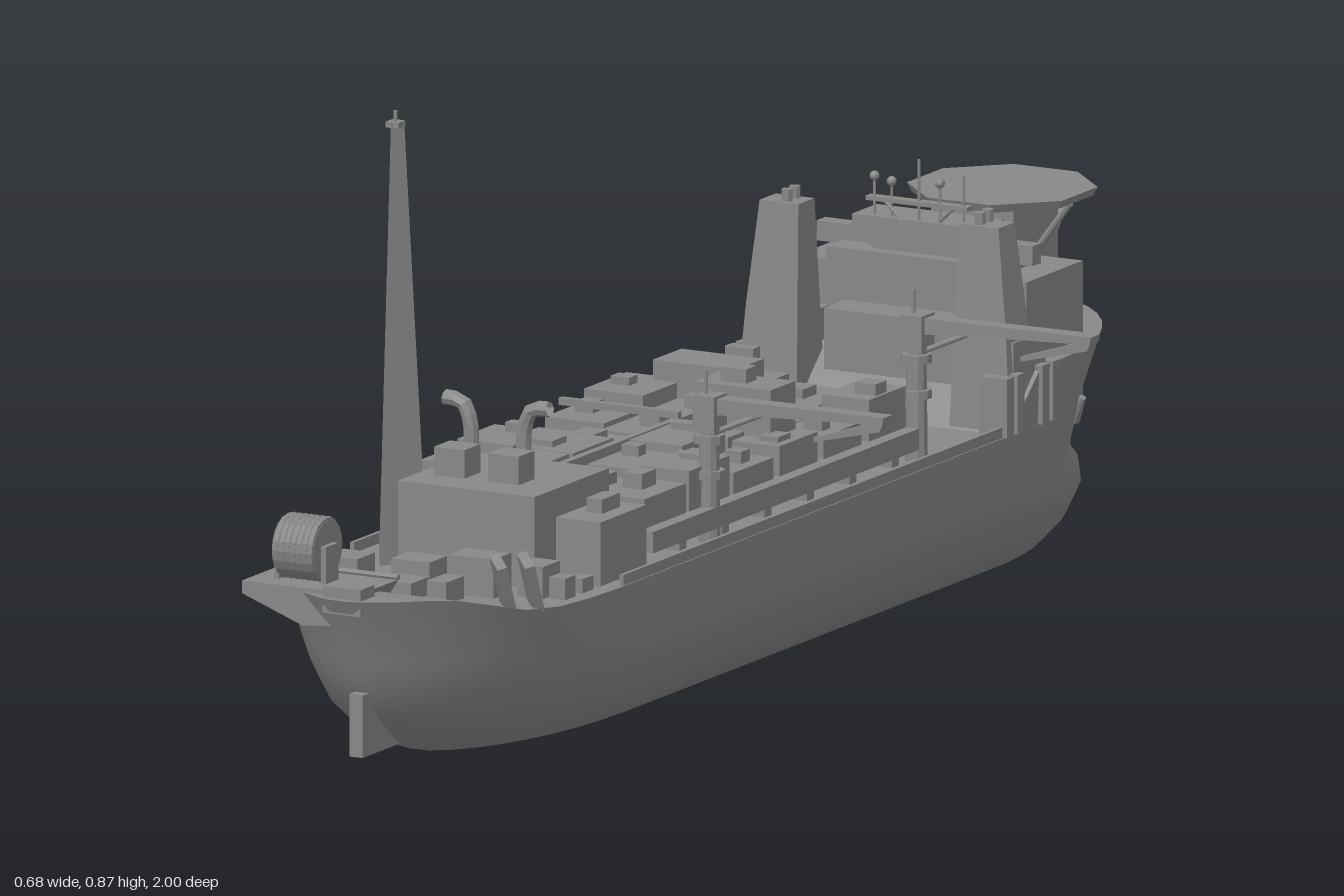
import * as THREE from 'three';

const MID = -0.12; // centreline of the hull in x
const smooth = new THREE.MeshStandardMaterial({ color: 0x888888, side: THREE.DoubleSide });
const flat = new THREE.MeshStandardMaterial({ color: 0x888888, flatShading: true, side: THREE.DoubleSide });

function add(parent, name, geo, x = 0, y = 0, z = 0, mat = flat) {
  const m = new THREE.Mesh(geo, mat);
  m.name = name;
  m.position.set(x, y, z);
  parent.add(m);
  return m;
}

// box given by its limits on each axis
function box(parent, name, x0, x1, y0, y1, z0, z1) {
  return add(parent, name, new THREE.BoxGeometry(x1 - x0, y1 - y0, z1 - z0),
    (x0 + x1) / 2, (y0 + y1) / 2, (z0 + z1) / 2);
}

// round bar between two points
function bar(parent, name, a, b, r0, r1 = r0, sides = 8) {
  const p = new THREE.Vector3(...a), q = new THREE.Vector3(...b);
  const m = add(parent, name, new THREE.CylinderGeometry(r1, r0, p.distanceTo(q), sides));
  m.position.copy(p).add(q).multiplyScalar(0.5);
  m.quaternion.setFromUnitVectors(new THREE.Vector3(0, 1, 0), q.sub(p).normalize());
  return m;
}

// outline in x and y, given a depth in z
function plate(points, depth) {
  const s = new THREE.Shape(points.map(([x, y]) => new THREE.Vector2(x, y)));
  return new THREE.ExtrudeGeometry(s, { depth, bevelEnabled: false });
}

// upper edge of the hull along its length
function sheer(z) {
  if (z > 0.78) return 0.235 + 0.037 * Math.min(1, (z - 0.78) / 0.14);
  return 0.235 + 0.08 * THREE.MathUtils.clamp((-0.52 - z) / 0.06, 0, 1);
}

function meshGeometry(pos, idx) {
  const g = new THREE.BufferGeometry();
  g.setAttribute('position', new THREE.Float32BufferAttribute(pos, 3));
  g.setIndex(idx);
  g.computeVertexNormals();
  return g;
}

// hull lofted from waterlines: [y, half width, stern z, stern run, bow z, bow run]
function buildHull(g) {
  const levels = [
    [0.006, 0.09, 0.66, 0.3, -0.88, 0.25], [0.018, 0.13, 0.77, 0.35, -0.925, 0.3],
    [0.048, 0.164, 0.855, 0.4, -0.968, 0.38], [0.094, 0.195, 0.91, 0.42, -0.985, 0.42],
    [0.125, 0.205, 0.93, 0.42, -0.967, 0.42], [0.15, 0.21, 0.945, 0.42, -0.93, 0.4],
    [0.175, 0.213, 0.955, 0.41, -0.925, 0.38], [0.5, 0.215, 0.975, 0.4, -0.95, 0.36],
    [1, 0.217, 1, 0.4, -1, 0.36]];
  const rows = levels.map(([lv, w, zs, rs, zb, rb], i) => {
    const side = [];
    const put = (z, h) => {
      const y = i < 7 ? lv : 0.175 + (sheer(z) - 0.175) * lv;
      side.push([Math.max(h, 0.018), y, z]);
    };
    for (let k = 0; k < 9; k++) {
      const a = (1 - k / 9) * Math.PI / 2;
      put(zs - rs + rs * Math.sin(a), w * Math.cos(a) ** 1.08);
    }
    for (let k = 0; k < 28; k++) put(THREE.MathUtils.lerp(zs - rs, zb + rb, k / 28), w);
    for (let k = 0; k <= 10; k++) {
      const a = k / 10 * Math.PI / 2;
      put(zb + rb - rb * Math.sin(a), w * Math.abs(Math.cos(a)) ** 1.15);
    }
    return side;
  });
  const n = rows[0].length, ring = 2 * n, pos = [], idx = [];
  for (const r of rows) {
    for (const [h, y, z] of r) pos.push(MID + h, y, z);
    for (const [h, y, z] of [...r].reverse()) pos.push(MID - h, y, z);
  }
  for (let i = 0; i < rows.length - 1; i++) {
    for (let j = 0; j < ring; j++) {
      const a = i * ring + j, b = i * ring + (j + 1) % ring;
      idx.push(a, b, a + ring, b, b + ring, a + ring);
    }
  }
  for (let j = 0; j < n - 1; j++) { // flat bottom
    const s = ring - 1 - j;
    idx.push(j, s, j + 1, j + 1, s, s - 1);
  }
  add(g, 'hull', meshGeometry(pos, idx), 0, 0, 0, smooth);
  const dp = [], di = [];
  rows[rows.length - 1].forEach(([h, y, z], j) => {
    dp.push(MID + h, y, z, MID - h, y, z);
    if (j) di.push(2 * j - 2, 2 * j, 2 * j + 1, 2 * j - 2, 2 * j + 1, 2 * j - 1);
  });
  add(g, 'deck', meshGeometry(dp, di));
  box(g, 'skeg', -0.13, -0.109, 0.042, 0.13, 0.82, 0.95);
  add(g, 'thruster', new THREE.CylinderGeometry(0.027, 0.027, 0.02, 12), MID, 0.01, -0.39);
  for (const s of [-1, 1]) bar(g, 'anchor', [MID + s * 0.165, 0.2, -0.78], [MID + s * 0.185, 0.235, -0.77], 0.01, 0.005);
}

// knuckle-boom deck crane reaching out to the left side
function buildCrane(g, z) {
  const c = new THREE.Group();
  c.name = 'crane';
  c.position.set(0.06, 0, z);
  g.add(c);
  bar(c, 'cranePost', [0, 0.23, 0], [0, 0.39, 0], 0.016, 0.014, 10);
  for (const y of [0.33, 0.38]) add(c, 'craneCollar', new THREE.CylinderGeometry(0.022, 0.022, 0.012, 10), 0, y, 0);
  box(c, 'craneHead', -0.016, 0.018, 0.39, 0.442, -0.018, 0.018);
  bar(c, 'craneMast', [-0.005, 0.44, 0], [-0.005, 0.475, 0], 0.003);
  const boom = plate([[-0.015, 0.438], [0.28, 0.44], [0.278, 0.429], [0.09, 0.421], [-0.015, 0.413]], 0.026);
  add(c, 'craneBoom', boom, 0, 0, -0.016);
  const jib = plate([[0.28, 0.437], [0.27, 0.418], [0.167, 0.393], [0.165, 0.399], [0.25, 0.426]], 0.014);
  add(c, 'craneJib', jib, 0, 0, -0.01);
  bar(c, 'craneStrut', [0, 0.385, 0], [0.085, 0.423, 0], 0.004);
}

// plant modules, closely set on a raised platform
function buildTopsides(g) {
  let seed = 7;
  const rnd = () => (seed = (seed * 16807) % 2147483647) / 2147483647;
  box(g, 'modulePlatform', -0.318, 0.075, 0.255, 0.285, -0.29, 0.46);
  for (let z = -0.26; z < 0.46; z += 0.12) {
    for (const x of [-0.29, -0.2, -0.04, 0.045]) box(g, 'platformLeg', x - 0.01, x + 0.01, 0.23, 0.256, z - 0.01, z + 0.01);
  }
  for (let i = 0; i < 6; i++) {
    const z0 = -0.288 + i * 0.124;
    for (const [x0, x1] of [[-0.315, -0.222], [-0.22, -0.128], [-0.105, -0.022], [-0.02, 0.055]]) {
      const h = 0.315 + 0.035 * rnd(), d = 0.1 + 0.022 * rnd();
      box(g, 'module', x0, x1, 0.284, h, z0, z0 + d);
      const w = 0.02 + 0.025 * rnd(), x = x0 + 0.005 + rnd() * 0.035, z = z0 + 0.01 + rnd() * 0.05;
      box(g, 'equipment', x, x + w, h - 0.002, h + 0.006 + 0.016 * rnd(), z, z + 0.02 + 0.02 * rnd());
    }
  }
  box(g, 'pipeRack', -0.123, -0.112, 0.284, 0.345, -0.05, 0.46);
  box(g, 'crossPipeRack', -0.3, -0.112, 0.345, 0.355, 0.045, 0.055);
  box(g, 'largeModule', -0.26, -0.13, 0.284, 0.375, -0.22, -0.14);
  box(g, 'largeModule', -0.1, 0.02, 0.284, 0.395, -0.04, 0.03);
  box(g, 'topUnit', -0.07, -0.03, 0.394, 0.415, -0.02, 0.01);
  // power block near the stern
  box(g, 'powerHouse', -0.215, 0, 0.232, 0.365, 0.45, 0.66);
  box(g, 'sideHouse', 0, 0.07, 0.232, 0.325, 0.47, 0.6);
  for (const x of [-0.165, -0.08]) {
    box(g, 'exhaustBase', x - 0.024, x + 0.024, 0.36, 0.405, 0.56, 0.605);
    const path = new THREE.CatmullRomCurve3([[0, 0.36], [0, 0.43], [0.012, 0.458], [0.04, 0.462]]
      .map(([o, y]) => new THREE.Vector3(x + Math.sign(x - MID) * o, y, 0.545)));
    add(g, 'exhaustPipe', new THREE.TubeGeometry(path, 8, 0.011, 8));
  }
  for (const [x, w, z, h] of [[-0.29, 0.05, 0.68, 0.265], [-0.17, 0.06, 0.71, 0.28], [-0.09, 0.07, 0.69, 0.29],
    [-0.15, 0.05, 0.78, 0.265], [-0.08, 0.03, 0.77, 0.27], [0.0, 0.04, 0.66, 0.28], [0.02, 0.025, 0.5, 0.345]]) {
    box(g, 'sternEquipment', x, x + w, 0.23, h, z, z + 0.05);
  }
  for (let i = 0; i < 5; i++) box(g, 'deckLocker', 0.045, 0.07, 0.23, 0.255 + 0.01 * (i % 3), 0.47 + i * 0.05, 0.5 + i * 0.05);
  for (const s of [-1, 1]) box(g, 'sideRail', MID + s * 0.212 - 0.003, MID + s * 0.212 + 0.003, 0.23, 0.25, -0.5, 0.58);
  box(g, 'deckHatch', -0.147, -0.095, 0.23, 0.26, -0.425, -0.375);
  box(g, 'hatchTrunk', -0.135, -0.107, 0.25, 0.27, -0.415, -0.385);
}

function buildStern(g) {
  // three-sided flare tower
  bar(g, 'flareTower', [-0.258, 0.232, 0.59], [-0.258, 0.853, 0.59], 0.044, 0.012, 3);
  bar(g, 'flareTip', [-0.258, 0.85, 0.59], [-0.258, 0.868, 0.59], 0.003);
  box(g, 'flareHead', -0.268, -0.248, 0.845, 0.853, 0.58, 0.6);
  const shelf = plate([[-0.285, 0.278], [-0.1, 0.278], [-0.13, 0.23], [-0.19, 0.225], [-0.285, 0.26]], 0.11);
  add(g, 'reelPlatform', shelf, 0, 0, 0.865);
  bar(g, 'hoseReel', [-0.245, 0.323, 0.922], [-0.18, 0.323, 0.922], 0.04, 0.04, 20);
  for (let i = 0; i < 7; i++) {
    const r = add(g, 'hoseTurn', new THREE.TorusGeometry(0.041, 0.005, 6, 20), -0.239 + i * 0.009, 0.323, 0.922);
    r.rotation.y = Math.PI / 2;
  }
  for (const x of [-0.25, -0.176]) box(g, 'reelStand', x - 0.004, x + 0.004, 0.27, 0.33, 0.905, 0.94);
  bar(g, 'hoseGuide', [-0.18, 0.29, 0.9], [-0.08, 0.29, 0.9], 0.004);
  box(g, 'sternRoller', -0.15, -0.09, 0.25, 0.288, 0.95, 0.99);
  // mooring fairleads
  for (const s of [-1, 1]) {
    for (const o of [-0.014, 0.014]) {
      const f = box(g, 'sternFairlead', -0.007, 0.007, 0.235, 0.31, -0.022, 0.022);
      f.position.x = MID + s * (0.162 + o);
      f.position.z = 0.785 - o;
      f.rotation.set(0.4, s * 0.75, 0);
    }
  }
}

function buildForecastle(g) {
  box(g, 'accommodation', -0.3, 0.06, 0.235, 0.425, -0.78, -0.62);
  box(g, 'upperHouse', -0.25, 0.01, 0.41, 0.445, -0.74, -0.61);
  box(g, 'frontHouse', -0.225, -0.015, 0.235, 0.37, -0.64, -0.56);
  // bridge, wider at the roof
  const bridge = plate([[-0.06, 0.44], [0.06, 0.44], [0.1, 0.472], [0.1, 0.49], [-0.1, 0.49], [-0.1, 0.472]], 0.07);
  add(g, 'bridge', bridge, MID, 0, -0.7);
  box(g, 'bridgeWing', -0.29, 0.05, 0.44, 0.468, -0.68, -0.655);
  // casings either side, tapering upwards
  for (const d of [-1, 1]) {
    const casing = plate([[0.12, 0.235], [0.215, 0.235], [0.205, 0.37], [0.188, 0.52], [0.127, 0.52]]
      .map(([x, y]) => [d * x, y]), 0.08);
    const p = casing.attributes.position;
    for (let i = 0; i < p.count; i++) p.setZ(i, (p.getZ(i) - 0.04) * (1 - 1.5 * (p.getY(i) - 0.235)));
    add(g, 'casing', casing, MID, 0, -0.55);
    box(g, 'casingFoot', MID + d * 0.17 - 0.04, MID + d * 0.17 + 0.04, 0.235, 0.36, -0.62, -0.53);
    for (const z of [-0.562, -0.54]) bar(g, 'casingVent', [MID + d * 0.152, 0.51, z], [MID + d * 0.152, 0.537, z], 0.008);
    for (const z of [-0.63, -0.6, -0.53, -0.5]) {
      box(g, 'bowFairlead', MID + d * 0.2 - 0.022, MID + d * 0.2 + 0.022, 0.235, 0.318, z - 0.01, z + 0.01);
    }
  }
  // mast with antennas
  box(g, 'mastYard', -0.2, -0.04, 0.511, 0.517, -0.648, -0.632);
  for (const d of [-1, 1]) bar(g, 'mastLeg', [MID + d * 0.02, 0.48, -0.64], [MID + d * 0.055, 0.513, -0.64], 0.003);
  for (const [x, y] of [[MID, 0.575], [-0.05, 0.56], [-0.19, 0.545], [-0.163, 0.54], [-0.087, 0.545]]) {
    bar(g, 'antenna', [x, 0.48, -0.64], [x, y, -0.64], 0.002);
    if (y < 0.55) add(g, 'radarDome', new THREE.SphereGeometry(0.007, 10, 8), x, y, -0.64, smooth);
  }
  add(g, 'radarDome', new THREE.SphereGeometry(0.008, 10, 8), -0.02, 0.482, -0.67, smooth);
  // helicopter deck on its support house
  const h = add(g, 'helideck', new THREE.CylinderGeometry(0.132, 0.126, 0.012, 8), MID, 0.488, -0.875);
  h.rotation.y = Math.PI / 8;
  box(g, 'helideckSupport', -0.185, -0.055, 0.31, 0.483, -0.915, -0.79);
  for (const x of [-0.175, -0.138, -0.102, -0.065]) bar(g, 'helideckBrace', [x, 0.41, -0.91], [x, 0.483, -0.97], 0.005);
  for (const d of [-1, 1]) bar(g, 'helideckBrace', [MID + d * 0.06, 0.41, -0.86], [MID + d * 0.115, 0.483, -0.86], 0.005);
}

export function createModel() {
  const g = new THREE.Group();
  g.name = 'productionShip';
  buildHull(g);
  buildTopsides(g);
  buildStern(g);
  buildForecastle(g);
  for (const z of [-0.31, 0.275]) buildCrane(g, z);
  return g;
}
